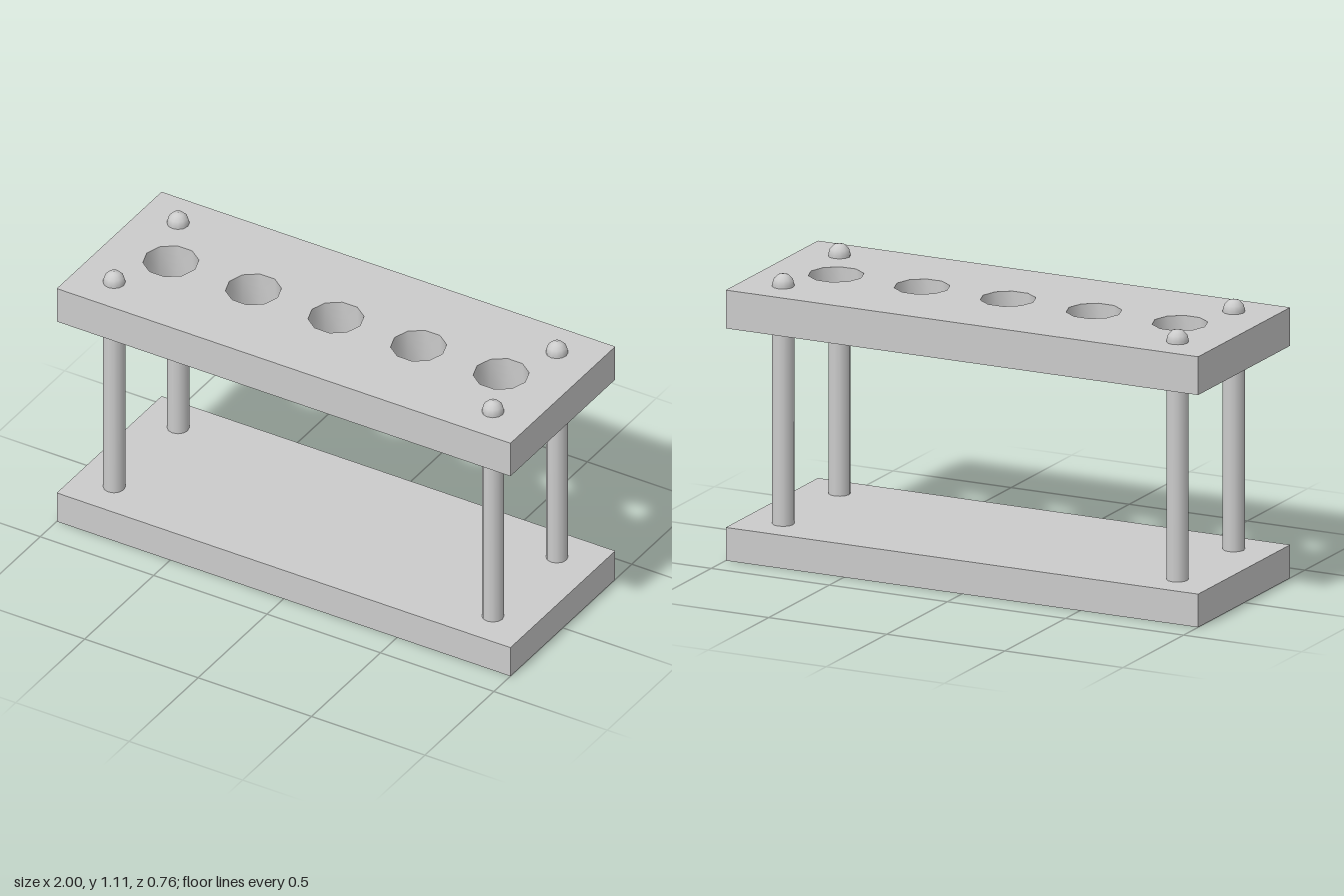
import * as THREE from 'three';
import { toCreasedNormals } from 'three/addons/utils/BufferGeometryUtils.js';

const material = new THREE.MeshStandardMaterial({ color: 0xcccccc });
const WIDTH = 2, DEPTH = 0.76;

function part(name, geometry) {
  const mesh = new THREE.Mesh(geometry, material);
  mesh.name = name;
  return mesh;
}

// Upper board with a row of ten-sided through holes
function makeTopBoard(bottom, top) {
  const w = WIDTH / 2, d = DEPTH / 2;
  const shape = new THREE.Shape([
    new THREE.Vector2(-w, -d), new THREE.Vector2(w, -d),
    new THREE.Vector2(w, d), new THREE.Vector2(-w, d),
  ]);
  for (let i = -2; i <= 2; i++) {
    const points = [];
    for (let k = 0; k < 10; k++) {
      const a = -k * Math.PI / 5;
      points.push(new THREE.Vector2(i * 0.364 + 0.106 * Math.cos(a), 0.106 * Math.sin(a)));
    }
    shape.holes.push(new THREE.Path(points));
  }
  const geometry = new THREE.ExtrudeGeometry(shape, { depth: top - bottom, bevelEnabled: false });
  geometry.rotateX(-Math.PI / 2).translate(0, bottom, 0);
  return part('topBoard', toCreasedNormals(geometry, 0.8));
}

// Round post with a domed tip
function makePostGeometry() {
  const r = 0.042, bottom = 0.12, shoulder = 1.068;
  const profile = [new THREE.Vector2(r, bottom)];
  for (let i = 0; i <= 3; i++) {
    const a = i * Math.PI / 6;
    profile.push(new THREE.Vector2(i === 3 ? 0 : r * Math.cos(a), shoulder + r * Math.sin(a)));
  }
  return new THREE.LatheGeometry(profile, 12);
}

export function createModel() {
  const rack = new THREE.Group();
  rack.name = 'rack';

  // Solid base board
  const base = part('baseBoard', new THREE.BoxGeometry(WIDTH, 0.13, DEPTH));
  base.position.y = 0.065;
  rack.add(base, makeTopBoard(0.91, 1.06));

  // Four corner posts
  const postGeometry = makePostGeometry();
  for (const x of [-0.837, 0.833]) {
    for (const z of [-0.232, 0.232]) {
      const post = part((z > 0 ? 'front' : 'back') + (x > 0 ? 'Left' : 'Right') + 'Post', postGeometry);
      post.position.set(x, 0, z);
      rack.add(post);
    }
  }
  return rack;
}
